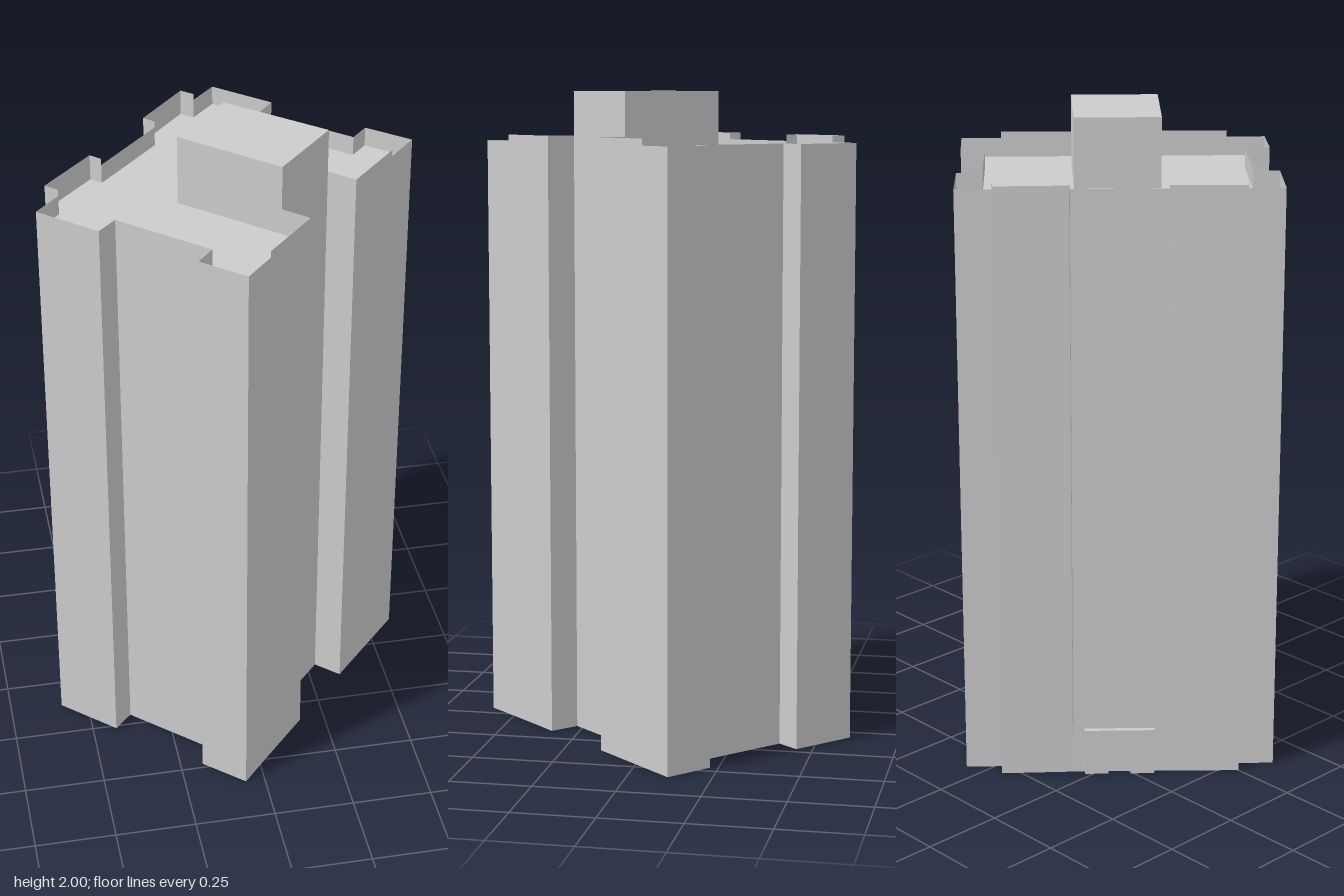
import * as THREE from 'three';

const ROOF = 1.785, LOW = 1.845, HIGH = 1.865, TOP = 2;

// Footprint corners [x, z] with the parapet height of the wall that starts there
const plan = [
  [0.06, -0.595, LOW], [0.22, -0.45, LOW], [0.17, -0.39, LOW], [0.415, -0.17, LOW],
  [0.465, -0.225, LOW], [0.585, -0.12, LOW], [0.5, -0.028, HIGH], [0.35, 0.135, HIGH],
  [0.28, 0.07, ROOF], [0.1, 0.27, HIGH], [0.17, 0.335, HIGH], [0.02, 0.5, LOW],
  [-0.06, 0.59, LOW], [-0.18, 0.483, LOW], [-0.13, 0.425, LOW], [-0.37, 0.205, LOW],
  [-0.425, 0.262, LOW], [-0.585, 0.115, LOW], [-0.51, 0.033, HIGH], [-0.545, 0, HIGH],
  [-0.39, -0.165, HIGH], [-0.36, -0.135, LOW], [-0.165, -0.348, HIGH], [-0.195, -0.378, HIGH],
  [-0.05, -0.545, HIGH], [-0.015, -0.513, LOW],
];
const liftCorners = [[0.015, -0.165], [0.28, 0.07], [0.1, 0.27], [-0.16, 0.03]];

const solid = new THREE.MeshStandardMaterial({ color: 0xcccccc, flatShading: true });
const thin = new THREE.MeshStandardMaterial({ color: 0xcccccc, flatShading: true, side: THREE.DoubleSide });

function part(name, geometry, material, parent) {
  const mesh = new THREE.Mesh(geometry, material);
  mesh.name = name;
  parent.add(mesh);
  return mesh;
}

// Shape drawn in plan, to be laid flat with rotateX(-PI / 2)
const planShape = (pts) => new THREE.Shape(pts.map(([x, z]) => new THREE.Vector2(x, -z)));

// One upright quad per footprint edge
function wallGeometry(pts) {
  const pos = [];
  pts.forEach(([ax, az, h], i) => {
    const [bx, bz] = pts[(i + 1) % pts.length];
    pos.push(bx, 0, bz, ax, 0, az, ax, h, az, bx, 0, bz, ax, h, az, bx, h, bz);
  });
  const g = new THREE.BufferGeometry();
  g.setAttribute('position', new THREE.Float32BufferAttribute(pos, 3));
  g.computeVertexNormals();
  return g;
}

export function createModel() {
  const tower = new THREE.Group();
  tower.name = 'apartmentTower';

  // Thin outer walls rising past the roof as a stepped parapet, open underneath
  part('outerWalls', wallGeometry(plan), thin, tower);
  part('roof', new THREE.ShapeGeometry(planShape(plan)).rotateX(-Math.PI / 2), thin, tower)
    .position.y = ROOF;

  // Lift housing, flush with the recessed front wall
  const lift = new THREE.ExtrudeGeometry(planShape(liftCorners), { depth: TOP - ROOF, bevelEnabled: false });
  part('liftHousing', lift.rotateX(-Math.PI / 2), solid, tower).position.y = ROOF;

  // Entrance closing the foot of the rear recess; local +z points outward
  const entrance = new THREE.Group();
  entrance.name = 'entrance';
  entrance.position.set(-0.2925, 0, -0.2715);
  entrance.rotation.y = Math.atan2(-0.213, -0.195);
  tower.add(entrance);

  const screen = new THREE.PlaneGeometry(0.288, 0.135).translate(0, 0.0675, 0);
  part('entranceWall', screen, thin, entrance);

  // Door surround with an opening
  const surround = new THREE.Shape([
    [-0.108, 0], [-0.034, 0], [-0.034, 0.078], [0.034, 0.078],
    [0.034, 0], [0.108, 0], [0.108, 0.148], [-0.108, 0.148],
  ].map(([x, y]) => new THREE.Vector2(x, y)));
  const surroundGeometry = new THREE.ExtrudeGeometry(surround, { depth: 0.016, bevelEnabled: false });
  part('doorSurround', surroundGeometry, solid, entrance);

  return tower;
}
